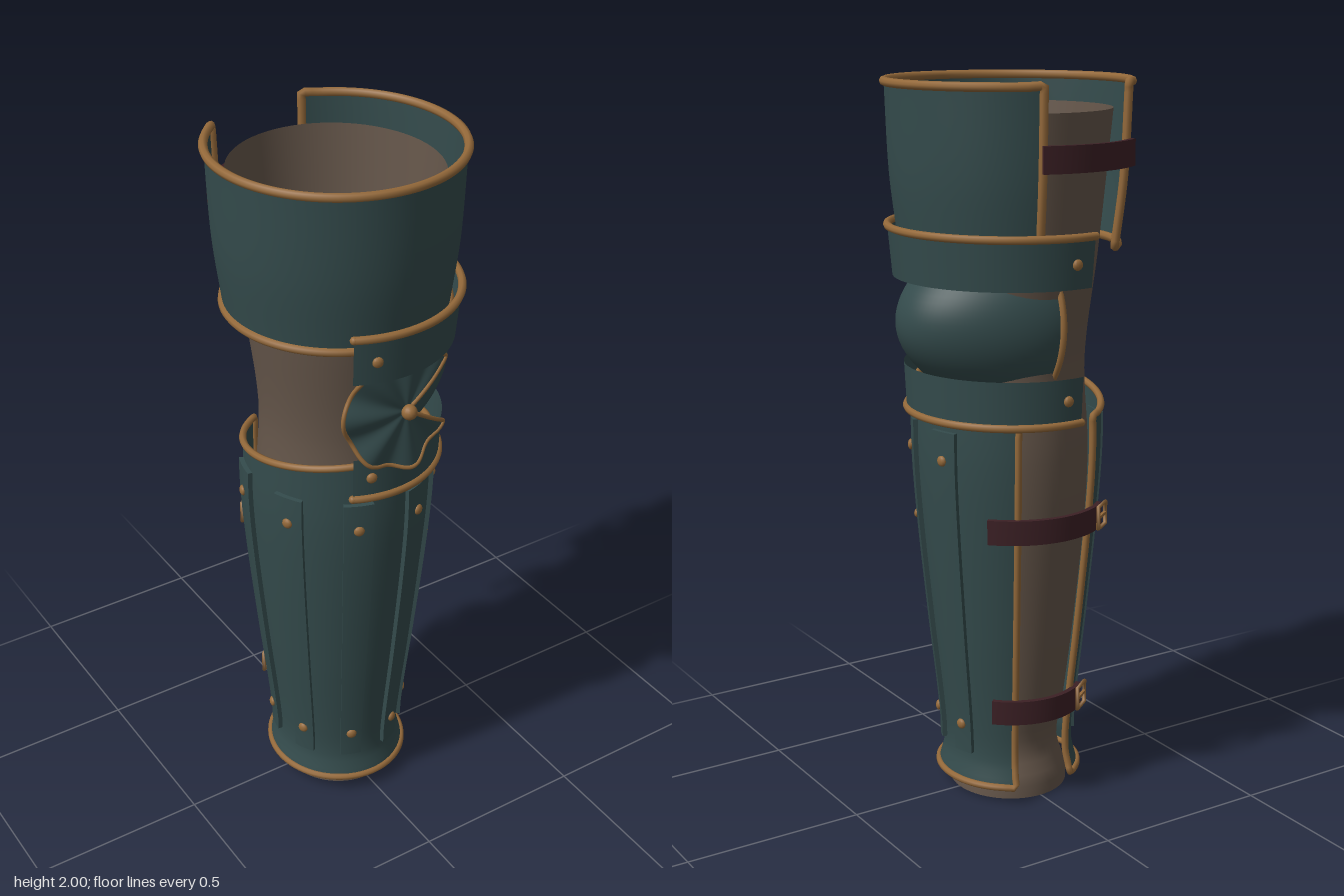
import * as THREE from 'three';
import { ParametricGeometry } from 'three/addons/geometries/ParametricGeometry.js';

const rad = THREE.MathUtils.degToRad;
const lerp = THREE.MathUtils.lerp;

// point on an oval cross-section; angle 0 is the front, 90 the left (+x)
const polar = (deg, y, r, depth, out = new THREE.Vector3()) =>
  out.set(r * Math.sin(rad(deg)), y, r * depth * Math.cos(rad(deg)));

// smooth radius from a list of [y, radius] stations
function radiusAt(profile, y) {
  let i = 0;
  while (i < profile.length - 2 && y > profile[i + 1][0]) i++;
  const slope = (k) => {
    const a = profile[Math.max(0, k - 1)], b = profile[Math.min(profile.length - 1, k + 1)];
    return (b[1] - a[1]) / (b[0] - a[0]);
  };
  const [y0, r0] = profile[i], [y1, r1] = profile[i + 1], h = y1 - y0;
  const t = THREE.MathUtils.clamp((y - y0) / h, 0, 1), t2 = t * t, t3 = t2 * t;
  return (2 * t3 - 3 * t2 + 1) * r0 + (t3 - 2 * t2 + t) * h * slope(i)
    + (3 * t2 - 2 * t3) * r1 + (t3 - t2) * h * slope(i + 1);
}

const SLEEVE = [[0, 0.165], [0.04, 0.163], [0.13, 0.138], [0.25, 0.155], [0.5, 0.184],
  [0.8, 0.211], [1.0, 0.218], [1.25, 0.207], [1.55, 0.24], [1.92, 0.275]];
const GREAVE = [[0.05, 0.196], [0.12, 0.18], [0.22, 0.183], [0.5, 0.212], [0.8, 0.24], [1.0, 0.252], [1.2, 0.25]];
const CUISSE = [[1.56, 0.295], [1.75, 0.317], [1.988, 0.327]];
const UPPER_LAME = [[1.475, 0.31], [1.61, 0.322]];
const LOWER_LAME = [[1.11, 0.276], [1.235, 0.282]];
const GREAVE_DEPTH = 1.06;

export function createModel() {
  const model = new THREE.Group();
  model.name = 'legArmour';
  const material = (name, color, side = THREE.FrontSide) => {
    const m = new THREE.MeshStandardMaterial({ color, side });
    m.name = name;
    return m;
  };
  const steel = material('blueGreenSteel', 0x344b4c, THREE.DoubleSide);
  const brass = material('brass', 0x94693a);
  const leather = material('brownLeather', 0x65564a, THREE.DoubleSide);
  const strapLeather = material('darkRedLeather', 0x3c2025);

  const add = (name, geometry, mat) => {
    const mesh = new THREE.Mesh(geometry, mat);
    mesh.name = name;
    model.add(mesh);
    return mesh;
  };

  // open curved plate spanning two angles; top may depend on the angle
  const plate = (profile, from, to, bottom, top, depth) => (u, v, out) => {
    const deg = lerp(from, to, u);
    const y = lerp(bottom, typeof top === 'function' ? top(deg) : top, v);
    return polar(deg, y, radiusAt(profile, y), depth, out);
  };
  const surface = (name, fn, mat, su = 72, sv = 28) => add(name, new ParametricGeometry(fn, su, sv), mat);

  // rolled edge along a path of (u, v) corners on a surface
  const trim = (name, fn, corners, r, steps = 36) => {
    const points = [];
    for (let i = 0; i < corners.length - 1; i++) {
      for (let k = i ? 1 : 0; k <= steps; k++) {
        const t = k / steps, p = new THREE.Vector3();
        fn(lerp(corners[i][0], corners[i + 1][0], t), lerp(corners[i][1], corners[i + 1][1], t), p);
        points.push(p);
      }
    }
    const closed = points[0].distanceTo(points[points.length - 1]) < 1e-4;
    if (closed) points.pop();
    const curve = new THREE.CatmullRomCurve3(points, closed, 'centripetal');
    add(name, new THREE.TubeGeometry(curve, points.length * 2, r, 8, closed), brass);
    if (!closed) for (const end of [points[0], points[points.length - 1]])
      add(name + 'End', new THREE.SphereGeometry(r, 10, 8), brass).position.copy(end);
  };
  const border = [[0, 0], [1, 0], [1, 1], [0, 1], [0, 0]];

  // box bent round the leg: offset lies outside the radius rule
  const bentBox = (name, from, to, y0, y1, radius, thick, depth, mat, ny) => {
    const g = new THREE.BoxGeometry(1, 1, 1, 20, ny, 1), p = g.attributes.position, v = new THREE.Vector3();
    for (let i = 0; i < p.count; i++) {
      const y = lerp(y0, y1, p.getY(i) + 0.5);
      polar(lerp(from, to, p.getX(i) + 0.5), y, radius(y) + (p.getZ(i) + 0.5) * thick, depth, v);
      p.setXYZ(i, v.x, v.y, v.z);
    }
    g.computeVertexNormals();
    return add(name, g, mat);
  };

  const rivet = (deg, y, r, depth, size = 0.015) => {
    const m = add('rivet', new THREE.SphereGeometry(size, 12, 8), brass);
    polar(deg, y, r, depth, m.position);
    m.rotation.y = rad(deg);
    m.scale.z = 0.6;
  };

  // padded leather sleeve, open at both ends
  surface('sleeve', plate(SLEEVE, -180, 180, 0, 1.92, 1.05), leather, 64, 60);

  // thigh plate with rolled border, open at the back
  const cuisse = plate(CUISSE, -140, 163, 1.56, 1.988, 1.01);
  surface('thighPlate', cuisse, steel);
  trim('thighTrim', cuisse, border, 0.012);

  // shin plate, its top edge rising to the front
  const greave = plate(GREAVE, -151, 152, 0.05, (d) => 1.15 + 0.05 * Math.cos(rad(d)), GREAVE_DEPTH);
  surface('shinPlate', greave, steel, 72, 48);
  trim('shinTrim', greave, border, 0.01);

  // raised splints with rivets
  for (const deg of [-105, -63, -21, 21, 63, 105]) {
    bentBox('splint', deg - 9, deg + 9, 0.135, 1.08, (y) => radiusAt(GREAVE, y) - 0.004, 0.017, GREAVE_DEPTH, steel, 24);
    for (const y of [0.22, 1.0]) rivet(deg, y, radiusAt(GREAVE, y) + 0.014, GREAVE_DEPTH);
  }
  rivet(63, 0.8, radiusAt(GREAVE, 0.8) + 0.013, GREAVE_DEPTH, 0.012);

  // bands above and below the knee
  const upper = plate(UPPER_LAME, -26, 190, 1.475, 1.61, 1.04);
  surface('upperKneeBand', upper, steel, 60, 6);
  trim('upperBandTrim', upper, [[0, 1], [1, 1]], 0.011, 60);
  const lower = plate(LOWER_LAME, -25, 190, 1.11, 1.235, 1.05);
  surface('lowerKneeBand', lower, steel, 60, 6);
  trim('lowerBandTrim', lower, [[0, 0], [1, 0]], 0.011, 60);
  for (const deg of [-15, 180]) {
    rivet(deg, 1.54, 0.318, 1.04);
    rivet(deg, 1.175, 0.282, 1.05);
  }

  // knee cup: half bowl bulging to the side
  const kneeCup = (u, v, out) => {
    const deg = lerp(-3, 183, u), t = rad(lerp(-66, 66, v)), c = Math.cos(t);
    const side = Math.max(0, Math.sin(rad(deg)));
    polar(deg, 1.36 + 0.25 * Math.sin(t), 0.25 * c, 1, out);
    out.x += 0.078 * c * c * c * side * side;
    return out;
  };
  surface('kneeCup', kneeCup, steel, 56, 32);
  trim('kneeCupTrim', kneeCup, border, 0.01);

  // fluted fan plate at the front of the knee, notched toward the cup
  const fan = (u, v, out) => {
    const a = rad(lerp(34, 326, u));
    const wave = Math.cos(u * Math.PI * 12);
    const r = lerp(0.008, 0.168 + 0.006 * wave, v);
    const x = 0.02 + r * Math.cos(a);
    return out.set(x, 1.36 + r * Math.sin(a), Math.sqrt(0.305 * 0.305 - x * x) + 0.01 * wave * v);
  };
  surface('kneeFan', fan, steel, 96, 12);
  trim('kneeFanTrim', fan, [[0, 0], [0, 1], [1, 1], [1, 0]], 0.006, 60);
  const boss = add('fanBoss', new THREE.SphereGeometry(0.021, 16, 12), brass);
  boss.position.set(0.02, 1.36, 0.315);

  // straps across the open back, buckled on the shin
  bentBox('thighStrap', 162, 220, 1.775, 1.845, () => 0.332, 0.015, 1.01, strapLeather, 1);
  for (const [y, r] of [[0.82, 0.25], [0.28, 0.197]]) {
    bentBox('shinStrap', 134, 220, y - 0.034, y + 0.034, () => r, 0.014, GREAVE_DEPTH, strapLeather, 1);
    const frame = new THREE.TorusGeometry(0.044, 0.006, 6, 4).rotateZ(Math.PI / 4);
    const buckle = add('buckle', frame, brass);
    polar(217, y, r + 0.018, GREAVE_DEPTH, buckle.position);
    buckle.rotation.y = rad(217);
    const prong = add('bucklePin', new THREE.BoxGeometry(0.06, 0.008, 0.008), brass);
    prong.position.copy(buckle.position);
    prong.rotation.y = rad(217);
  }
  return model;
}
